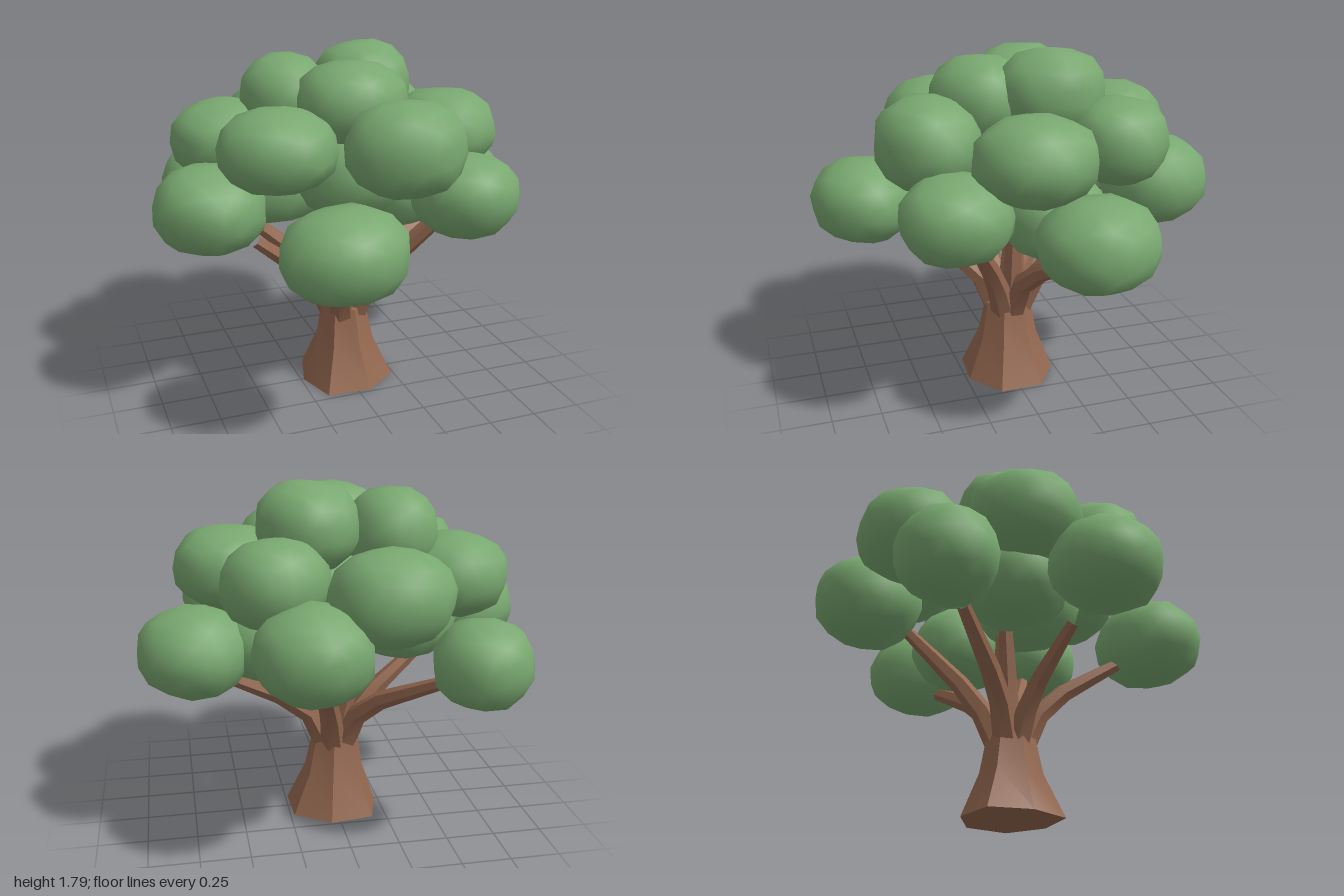
import * as THREE from 'three';
import { mergeVertices, toCreasedNormals } from 'three/addons/utils/BufferGeometryUtils.js';

// Small seeded generator for the irregular, hand-cut shapes
function seeded(seed) {
  let s = seed;
  return () => {
    s = (s * 16807) % 2147483647;
    return s / 2147483647;
  };
}

// Leaf clump: squarish, slightly uneven ball with smooth normals
function clumpGeometry(rx, ry, rz, seed) {
  const rand = seeded(seed * 7919 + 13);
  let geo = new THREE.IcosahedronGeometry(1, 2);
  geo.deleteAttribute('normal');
  geo.deleteAttribute('uv');
  geo = mergeVertices(geo, 1e-3);
  geo.rotateY(rand() * 6);
  geo.rotateX(rand() * 6);
  const pos = geo.attributes.position;
  const v = new THREE.Vector3();
  const p = 2.35;
  for (let i = 0; i < pos.count; i++) {
    v.fromBufferAttribute(pos, i);
    const n = Math.abs(v.x) ** 2 + Math.abs(v.z) ** 2;
    const k = (n ** (p / 2) + Math.abs(v.y) ** p) ** (-1 / p);
    v.multiplyScalar(k * (0.965 + rand() * 0.07));
    pos.setXYZ(i, v.x * rx, v.y * ry, v.z * rz);
  }
  geo.computeVertexNormals();
  return geo;
}

// Branch: tube whose rings shrink towards the tip
function branchGeometry(points, r0, r1) {
  const path = new THREE.CatmullRomCurve3(points);
  const steps = 4, sides = 6;
  const geo = new THREE.TubeGeometry(path, steps, 1, sides, false);
  const pos = geo.attributes.position;
  const v = new THREE.Vector3();
  for (let i = 0; i < pos.count; i++) {
    const t = Math.floor(i / (sides + 1)) / steps;
    const c = path.getPointAt(t);
    v.fromBufferAttribute(pos, i).sub(c).multiplyScalar(r0 + (r1 - r0) * t).add(c);
    pos.setXYZ(i, v.x, v.y, v.z);
  }
  return toCreasedNormals(geo, 0.6);
}

// Trunk: seven-sided lathe, with uneven roots spreading at the base
function trunkGeometry() {
  const profile = [[0, 0], [0.255, 0], [0.16, 0.22], [0.122, 0.42], [0, 0.44]]
    .map(([r, y]) => new THREE.Vector2(r, y));
  const geo = new THREE.LatheGeometry(profile, 7, 0.25);
  const pos = geo.attributes.position;
  for (let i = 0; i < pos.count; i++) {
    const x = pos.getX(i), y = pos.getY(i), z = pos.getZ(i);
    const low = Math.max(0, 1 - y / 0.42);
    const k = 1 + 0.08 * low * Math.cos(3 * Math.atan2(z, x));
    pos.setXYZ(i, x * k - 0.012 * (1 - low), y, z * k);
  }
  return toCreasedNormals(geo, 0.6);
}

export function createModel() {
  const leaf = new THREE.MeshStandardMaterial({ color: 0x79a870 });
  const bark = new THREE.MeshStandardMaterial({ color: 0x946850 });
  leaf.name = 'leafGreen';
  bark.name = 'barkBrown';
  const tree = new THREE.Group();
  tree.name = 'tree';
  const add = (parent, name, geo, mat) => {
    const mesh = new THREE.Mesh(geo, mat);
    mesh.name = name;
    parent.add(mesh);
    return mesh;
  };

  add(tree, 'trunk', trunkGeometry(), bark);

  // Branches reach for the lower clumps, plus two upright ones
  const branches = new THREE.Group();
  branches.name = 'branches';
  tree.add(branches);
  const tips = [
    [-0.23, 0.86, 0.55], [0.4, 0.94, 0.3], [0.66, 0.88, -0.18], [-0.5, 0.86, 0.08],
    [0.16, 0.95, -0.5], [-0.45, 0.84, -0.48], [0.04, 1.1, -0.02], [-0.17, 1.1, -0.12],
  ];
  tips.forEach(([x, y, z], i) => {
    const d = Math.hypot(x, z) || 1;
    const at = (r, h) => new THREE.Vector3((x / d) * r - 0.01, h, (z / d) * r);
    const upright = d < 0.3;
    const points = [
      at(upright ? 0.02 : 0.06, 0.37),
      at(upright ? 0.05 : 0.17, 0.58),
      new THREE.Vector3(x, y, z),
    ];
    add(branches, `branch${i + 1}`, branchGeometry(points, 0.066, 0.032), bark);
  });

  // Leaf clumps: centre x, y, z, then radius x, y, z
  const crown = new THREE.Group();
  crown.name = 'crown';
  tree.add(crown);
  const tiers = {
    lowerClump: [
      [-0.255, 0.98, 0.705, 0.295, 0.215, 0.27],
      [0.485, 1.095, 0.4, 0.265, 0.205, 0.265],
      [0.72, 0.985, -0.2, 0.275, 0.215, 0.29],
      [-0.73, 1.07, 0.13, 0.27, 0.21, 0.28],
      [0.215, 1.1, -0.71, 0.275, 0.225, 0.27],
      [-0.595, 0.98, -0.63, 0.235, 0.215, 0.24],
    ],
    middleClump: [
      [-0.425, 1.36, 0.265, 0.285, 0.2, 0.275],
      [0.145, 1.36, 0.445, 0.295, 0.23, 0.26],
      [0.525, 1.345, 0.035, 0.275, 0.205, 0.295],
      [0.35, 1.36, -0.445, 0.255, 0.21, 0.245],
      [-0.15, 1.32, -0.63, 0.29, 0.225, 0.27],
      [-0.56, 1.32, -0.22, 0.275, 0.21, 0.28],
    ],
    topClump: [
      [-0.015, 1.53, 0.14, 0.28, 0.21, 0.25],
      [0.155, 1.57, -0.17, 0.255, 0.22, 0.27],
      [-0.265, 1.53, -0.15, 0.23, 0.215, 0.27],
    ],
    innerClump: [
      [0.35, 1.01, -0.12, 0.26, 0.215, 0.27],
      [-0.32, 1.1, -0.15, 0.28, 0.21, 0.28],
      [0, 1.2, 0.1, 0.3, 0.25, 0.28],
    ],
  };
  let seed = 1;
  for (const [name, clumps] of Object.entries(tiers)) {
    clumps.forEach(([x, y, z, rx, ry, rz], i) => {
      const mesh = add(crown, `${name}${i + 1}`, clumpGeometry(rx, ry, rz, seed++), leaf);
      mesh.position.set(x, y, z);
    });
  }
  return tree;
}
